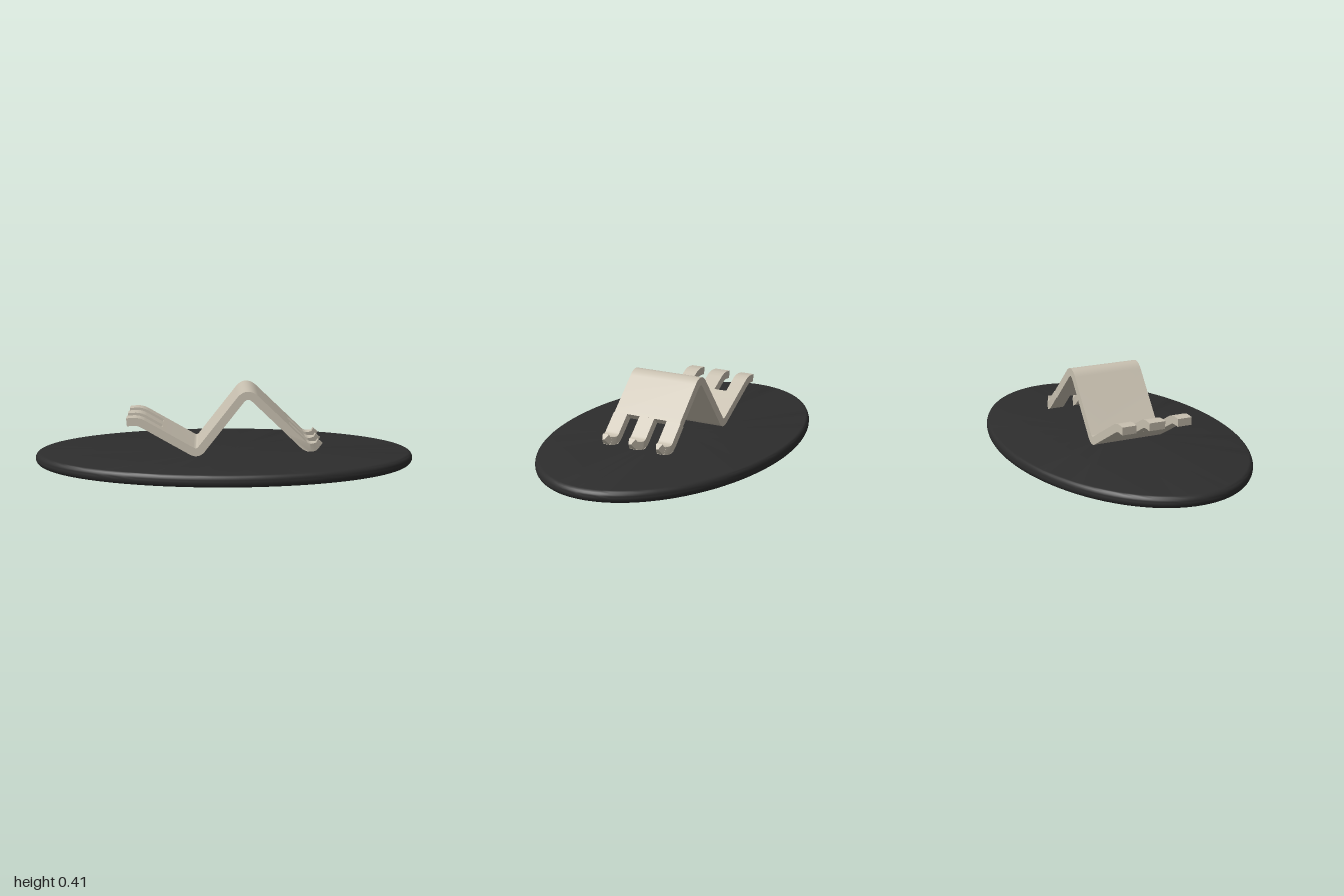
import * as THREE from 'three';
import { toCreasedNormals } from 'three/addons/utils/BufferGeometryUtils.js';

const HALF = 0.021; // half thickness of the bent strip

// Centre line through corners [x, y, rounding]
function centreLine(corners) {
  const pts = [];
  corners.forEach(([x, y, d], i) => {
    const p = new THREE.Vector2(x, y);
    if (!d) return pts.push(p);
    const toward = ([qx, qy]) => new THREE.Vector2(qx, qy).sub(p).setLength(d).add(p);
    pts.push(...new THREE.QuadraticBezierCurve(toward(corners[i - 1]), p, toward(corners[i + 1])).getPoints(10));
  });
  return pts;
}

// Side outline: the centre line thickened to both sides
function stripShape(corners) {
  const pts = centreLine(corners);
  const top = [], bottom = [];
  pts.forEach((p, i) => {
    const t = new THREE.Vector2();
    if (i > 0) t.add(p.clone().sub(pts[i - 1]).normalize());
    if (i < pts.length - 1) t.add(pts[i + 1].clone().sub(p).normalize());
    t.normalize();
    const n = new THREE.Vector2(-t.y, t.x).multiplyScalar(HALF);
    top.push(p.clone().add(n));
    bottom.push(p.clone().sub(n));
  });
  return new THREE.Shape([...bottom, ...top.reverse()]);
}

// Extrude a side outline across z; optionally narrow it toward the +x tip
function across(shape, width, z, taper = false) {
  const geo = new THREE.ExtrudeGeometry(shape, { depth: width, bevelEnabled: false, steps: 1 });
  geo.translate(0, 0, -width / 2);
  if (taper) {
    const pos = geo.attributes.position;
    for (let i = 0; i < pos.count; i++) {
      const k = THREE.MathUtils.clamp((pos.getX(i) - 0.44) / 0.07, 0, 1);
      pos.setZ(i, pos.getZ(i) * (1 - 0.85 * k));
    }
  }
  geo.translate(0, 0, z);
  return toCreasedNormals(geo, 0.5);
}

export function createModel() {
  const model = new THREE.Group();
  const black = new THREE.MeshStandardMaterial({ color: 0x2d2d2d });
  black.name = 'charcoal';
  const beige = new THREE.MeshStandardMaterial({ color: 0xc8c0b0 });
  beige.name = 'warm beige';
  const add = (geo, mat, name) => {
    const mesh = new THREE.Mesh(geo, mat);
    mesh.name = name;
    model.add(mesh);
  };

  // Oval base with a rounded rim
  const profile = [new THREE.Vector2(0, 0)];
  for (let i = 0; i <= 12; i++) {
    const a = -Math.PI / 2 + (Math.PI * i) / 12;
    profile.push(new THREE.Vector2(0.97 + 0.03 * Math.cos(a), 0.031 + 0.031 * Math.sin(a)));
  }
  profile.push(new THREE.Vector2(0, 0.062));
  const base = new THREE.LatheGeometry(profile, 96);
  base.scale(1, 1, 0.618);
  add(toCreasedNormals(base, 0.6), black, 'ovalBase');

  // Bent strip between the two sets of slots
  const cutL = [-0.335, 0.189, 0], cutR = [0.325, 0.208, 0];
  add(across(stripShape([cutL, [-0.14, 0.078, 0.035], [0.117, 0.407, 0.06], cutR]), 0.385, 0), beige, 'bentStrip');

  // Three blunt prongs on one end, three pointed hooked prongs on the other
  const blunt = stripShape([[-0.505, 0.247, 0], [-0.445, 0.252, 0.03], cutL]);
  const pointed = stripShape([cutR, [0.432, 0.105, 0.038], [0.472, 0.115, 0]]);
  const hook = new THREE.Shape([
    [0.468, 0.094], [0.482, 0.098], [0.51, 0.13], [0.484, 0.152], [0.476, 0.137], [0.466, 0.135],
  ].map(([x, y]) => new THREE.Vector2(x, y)));
  for (const side of [-1, 0, 1]) {
    const width = side ? 0.077 : 0.087;
    const z = side * 0.154;
    add(across(blunt, width, z), beige, 'bluntProng');
    add(across(pointed, side ? 0.08 : 0.087, side * 0.156, true), beige, 'pointedProng');
    add(across(hook, width, side * 0.156, true), beige, 'prongHook');
  }
  return model;
}
